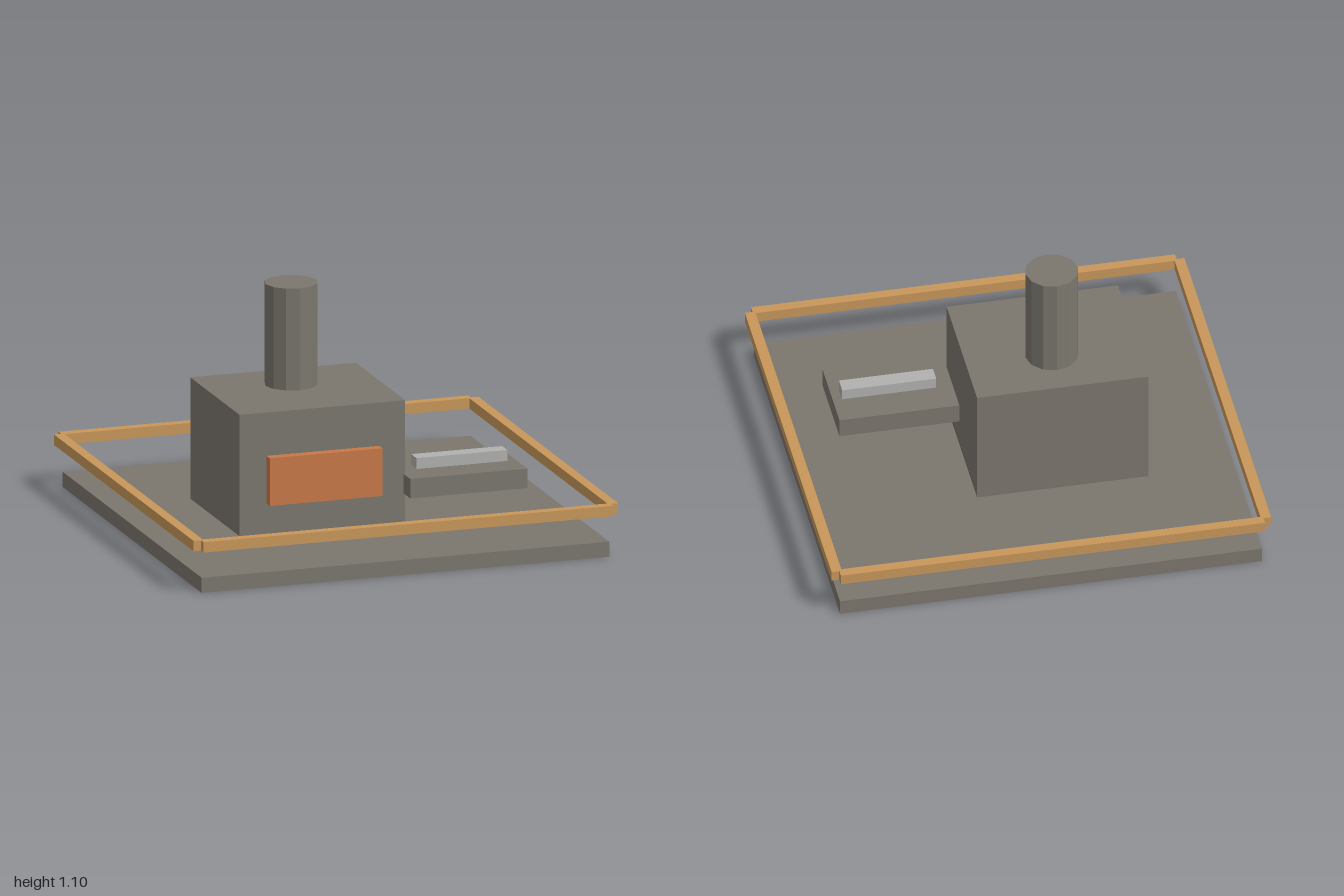
import * as THREE from 'three';

const material = (name, color) => {
  const m = new THREE.MeshStandardMaterial({ color });
  m.name = name;
  return m;
};

export function createModel() {
  const group = new THREE.Group();
  const stone = material('stone grey', 0x7b776e);
  const wood = material('light wood', 0xc8975a);
  const copper = material('copper orange', 0xc87848);
  const metal = material('pale metal', 0xb0b1ae);

  // Box given by its limits on each axis
  const box = (name, mat, [x0, x1], [y0, y1], [z0, z1]) => {
    const mesh = new THREE.Mesh(new THREE.BoxGeometry(x1 - x0, y1 - y0, z1 - z0), mat);
    mesh.position.set((x0 + x1) / 2, (y0 + y1) / 2, (z0 + z1) / 2);
    mesh.name = name;
    group.add(mesh);
  };

  // Floor slab and furnace block
  box('base', stone, [-0.96, 0.96], [0, 0.07], [-0.96, 0.96]);
  box('furnaceBody', stone, [-0.57, 0.21], [0.07, 0.63], [-0.34, 0.34]);
  box('furnaceDoor', copper, [-0.443, 0.088], [0.21, 0.43], [0.34, 0.385]);

  // Side table with a bar lying on it
  box('sideTable', stone, [0.203, 0.755], [0.2, 0.29], [0.055, 0.43]);
  box('metalBar', metal, [0.285, 0.713], [0.29, 0.34], [0.203, 0.277]);

  // Twelve-sided chimney
  const flatStone = material('flat stone grey', 0x7b776e);
  flatStone.flatShading = true;
  const chimney = new THREE.Mesh(new THREE.CylinderGeometry(0.12, 0.12, 0.47, 12), flatStone);
  chimney.position.set(-0.18, 0.865, -0.092);
  chimney.name = 'chimney';
  group.add(chimney);

  // Floating rail frame, notched at the corners
  const y = [0.197, 0.245], long = [-0.965, 0.965];
  for (const [side, span] of [['Left', [0.953, 1]], ['Right', [-1, -0.953]]]) {
    box('rail' + side, wood, span, y, long);
  }
  for (const [side, span] of [['Front', [0.953, 1]], ['Back', [-1, -0.953]]]) {
    box('rail' + side, wood, long, y, span);
  }
  return group;
}
